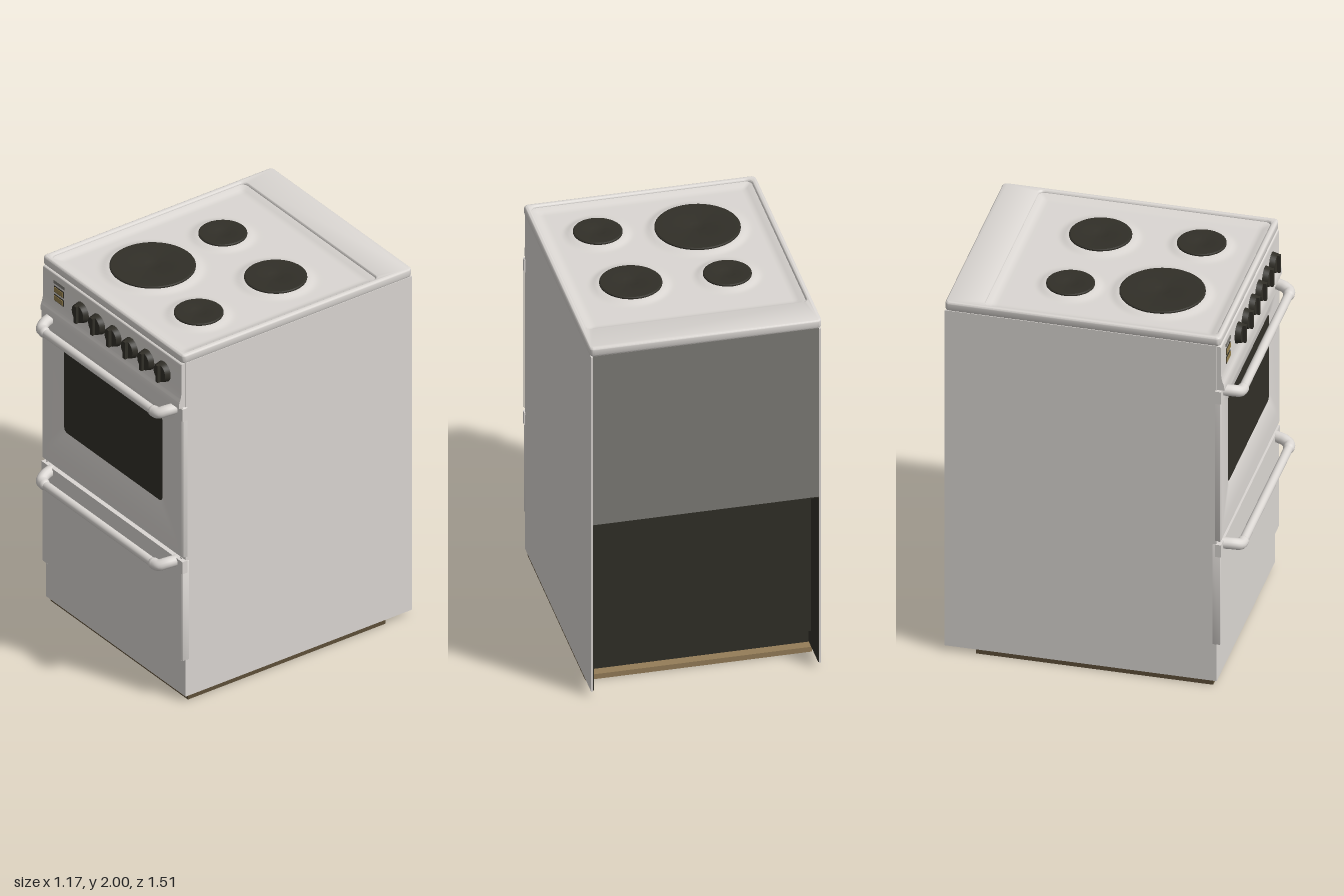
import * as THREE from 'three';
import { toCreasedNormals } from 'three/addons/utils/BufferGeometryUtils.js';

const mat = (name, color) => {
  const m = new THREE.MeshStandardMaterial({ color });
  m.name = name;
  return m;
};

// Points of a rounded rectangle, anticlockwise
function roundedRect(hw, hh, cx, cy, r, n = 5) {
  const pts = [];
  [[1, 1], [-1, 1], [-1, -1], [1, -1]].forEach(([sx, sy], q) => {
    for (let i = 0; i <= n; i++) {
      const a = (q + i / n) * Math.PI / 2;
      pts.push(new THREE.Vector2(cx + sx * (hw - r) + r * Math.cos(a), cy + sy * (hh - r) + r * Math.sin(a)));
    }
  });
  return pts;
}

// Skin over rounded rectangles [halfW, halfH, centreY, radius, z], closed at the last one
function loft(rings) {
  const pos = [], idx = [];
  const n = 24;
  for (const [hw, hh, cy, r, z] of rings) {
    for (const p of roundedRect(hw, hh, 0, cy, r)) pos.push(p.x, p.y, z);
  }
  for (let i = 0; i < rings.length - 1; i++) {
    for (let j = 0; j < n; j++) {
      const a = i * n + j, b = i * n + (j + 1) % n;
      idx.push(a, b, b + n, a, b + n, a + n);
    }
  }
  const last = rings[rings.length - 1], base = (rings.length - 1) * n;
  pos.push(0, last[2], last[4]);
  for (let j = 0; j < n; j++) idx.push(base + j, base + (j + 1) % n, rings.length * n);
  const g = new THREE.BufferGeometry();
  g.setAttribute('position', new THREE.Float32BufferAttribute(pos, 3));
  g.setIndex(idx);
  return toCreasedNormals(g, 0.5);
}

export function createModel() {
  const root = new THREE.Group();
  root.name = 'cooker';
  const enamel = mat('enamel', 0xdbd7d3);
  const dark = mat('dark', 0x312f28);
  const brown = mat('brown', 0x957d58);
  const darkBrown = mat('darkBrown', 0x5e5039);
  const amber = mat('amber', 0x94804f);
  const grey = mat('grey', 0x7e7c77);

  const add = (name, geo, material, x = 0, y = 0, z = 0, parent = root) => {
    const m = new THREE.Mesh(geo, material);
    m.name = name;
    m.position.set(x, y, z);
    parent.add(m);
    return m;
  };
  // Box given by its limits
  const box = (name, material, x0, x1, y0, y1, z0, z1) =>
    add(name, new THREE.BoxGeometry(x1 - x0, y1 - y0, z1 - z0), material, (x0 + x1) / 2, (y0 + y1) / 2, (z0 + z1) / 2);

  // Cabinet with an open recess low in the back
  box('base', [darkBrown, darkBrown, brown, brown, darkBrown, brown], -0.572, 0.572, 0, 0.028, -0.6, 0.6);
  box('core', dark, -0.568, 0.568, 0.12, 1.94, -0.6, 0.6);
  box('lowerCore', dark, -0.568, 0.568, 0.028, 0.12, -0.55, 0.6);
  box('frontFrame', enamel, -0.57, 0.57, 0.2, 1.95, 0.59, 0.619);
  for (const s of [-1, 1]) {
    const name = s > 0 ? 'leftPanel' : 'rightPanel';
    add(name, new THREE.BoxGeometry(0.01, 1.922, 1.375), enamel, s * 0.575, 0.989, -0.0675);
    add('recessSide', new THREE.BoxGeometry(0.004, 0.945, 0.2), dark, s * 0.568, 0.503, -0.652);
  }
  box('backPanel', grey, -0.57, 0.57, 0.98, 1.95, -0.748, -0.6);
  box('recessCeiling', dark, -0.568, 0.568, 0.974, 0.98, -0.747, -0.6);
  box('plinth', enamel, -0.58, 0.58, 0.028, 0.234, 0.58, 0.62);

  // Cooktop rim
  const rim = new THREE.Shape(roundedRect(0.573, 0.6855, 0, 0.0575, 0.012));
  rim.holes.push(new THREE.Path(roundedRect(0.567, 0.599, 0, -0.0225, 0.04)));
  const rimGeo = new THREE.ExtrudeGeometry(rim, {
    depth: 0.026, bevelEnabled: true, bevelSize: 0.012, bevelThickness: 0.012, bevelSegments: 4,
  }).rotateX(-Math.PI / 2);
  add('cooktopRim', toCreasedNormals(rimGeo, 0.6), enamel, 0, 1.962, 0);

  // Pressed cooktop tray, swelling around each hotplate
  const plates = [[-0.24, -0.205, 0.12], [0.24, -0.175, 0.155], [-0.2, 0.25, 0.212], [0.285, 0.325, 0.122]];
  const tray = new THREE.PlaneGeometry(1.116, 1.18, 72, 76).rotateX(-Math.PI / 2).translate(0, 0, 0.0225);
  const p = tray.attributes.position;
  for (let i = 0; i < p.count; i++) {
    const x = p.getX(i), z = p.getZ(i);
    const edge = Math.min(0.558 - Math.abs(x), 0.59 - Math.abs(z - 0.0225));
    let y = 1.974 + 0.014 * (1 - THREE.MathUtils.smoothstep(edge, 0, 0.05));
    for (const [bx, bz, r] of plates) {
      y += 0.012 * (1 - THREE.MathUtils.smoothstep(Math.hypot(x - bx, z - bz), r, r + 0.05));
    }
    p.setY(i, y);
  }
  tray.computeVertexNormals();
  add('cooktopTray', tray, enamel);

  // Hotplates with a shallow dished centre
  for (const [x, z, r] of plates) {
    const profile = [[r, -0.02], [r, 0.006], [r - 0.006, 0.009], [0.045, 0.009], [0.035, 0.006], [0, 0.006]]
      .map(([a, b]) => new THREE.Vector2(a, b));
    add('hotplate', toCreasedNormals(new THREE.LatheGeometry(profile, 48), 0.3), dark, x, 1.986, z);
  }

  // Control panel, flaring out at its foot
  const flare = new THREE.Shape();
  flare.moveTo(-0.6, 1.697);
  flare.lineTo(-0.6, 1.945);
  flare.lineTo(-0.632, 1.945);
  flare.quadraticCurveTo(-0.641, 1.945, -0.641, 1.93);
  flare.lineTo(-0.641, 1.79);
  flare.quadraticCurveTo(-0.643, 1.755, -0.652, 1.735);
  flare.quadraticCurveTo(-0.658, 1.72, -0.658, 1.697);
  const panelGeo = new THREE.ExtrudeGeometry(flare, { depth: 1.15, bevelEnabled: false, curveSegments: 8 });
  panelGeo.rotateY(Math.PI / 2).translate(-0.575, 0, 0);
  add('controlPanel', toCreasedNormals(panelGeo, 0.6), enamel);

  // Knobs with an upright grip
  for (let i = 0; i < 6; i++) {
    const knob = new THREE.Group();
    knob.name = 'knob';
    knob.position.set(-0.25 + i * 0.136, 1.838, 0.64);
    root.add(knob);
    const dial = new THREE.CylinderGeometry(0.048, 0.055, 0.03, 28).rotateX(Math.PI / 2);
    add('dial', toCreasedNormals(dial, 0.6), dark, 0, 0, 0.015, knob);
    add('grip', new THREE.BoxGeometry(0.02, 0.096, 0.022), dark, 0, 0, 0.036, knob);
  }

  // Indicator lamps
  box('indicatorStrip', grey, -0.483, -0.393, 1.891, 1.909, 0.638, 0.645);
  for (const y of [1.859, 1.811]) {
    box('lampFrame', dark, -0.481, -0.4, y - 0.018, y + 0.018, 0.638, 0.644);
    box('lamp', amber, -0.476, -0.405, y - 0.013, y + 0.013, 0.639, 0.647);
  }

  // Oven door, sloping in gently to the window
  add('ovenDoor', loft([
    [0.584, 0.431, 1.264, 0.006, 0.612],
    [0.584, 0.431, 1.264, 0.006, 0.637],
    [0.578, 0.425, 1.264, 0.006, 0.643],
    [0.54, 0.36, 1.275, 0.02, 0.643],
    [0.425, 0.262, 1.315, 0.03, 0.637],
    [0.412, 0.25, 1.315, 0.025, 0.631],
  ]), enamel);
  const glass = new THREE.ShapeGeometry(new THREE.Shape(roundedRect(0.408, 0.246, 0, 1.315, 0.025)));
  add('ovenWindow', glass, dark, -0.002, 0, 0.634);

  // Storage drawer
  add('drawer', loft([
    [0.582, 0.2865, 0.5245, 0.004, 0.6],
    [0.582, 0.2865, 0.5245, 0.004, 0.637],
    [0.577, 0.2815, 0.5245, 0.004, 0.642],
  ]), enamel);
  for (const y of [0.232, 0.822]) {
    for (const s of [-1, 1]) add('hingePin', new THREE.SphereGeometry(0.007, 10, 8), enamel, s * 0.557, y, 0.628);
  }

  // Bar handles on curved brackets
  for (const [name, y] of [['doorHandle', 1.65], ['drawerHandle', 0.772]]) {
    const handle = new THREE.Group();
    handle.name = name;
    handle.position.y = y;
    root.add(handle);
    add('trim', new THREE.BoxGeometry(1.172, 0.07, 0.03), enamel, 0, 0.007, 0.629, handle);
    add('bar', new THREE.CylinderGeometry(0.023, 0.023, 0.92, 20).rotateZ(Math.PI / 2), enamel, 0, 0, 0.722, handle);
    for (const s of [-1, 1]) {
      const path = new THREE.CatmullRomCurve3([[0.52, 0.018, 0.63], [0.505, 0.012, 0.685], [0.485, 0.002, 0.716], [0.455, 0, 0.722]]
        .map(([x, h, z]) => new THREE.Vector3(s * x, h, z)));
      add('bracket', new THREE.TubeGeometry(path, 14, 0.029, 14), enamel, 0, 0, 0, handle);
      add('bracketEnd', new THREE.SphereGeometry(0.029, 14, 10), enamel, s * 0.455, 0, 0.722, handle);
    }
  }
  return root;
}
